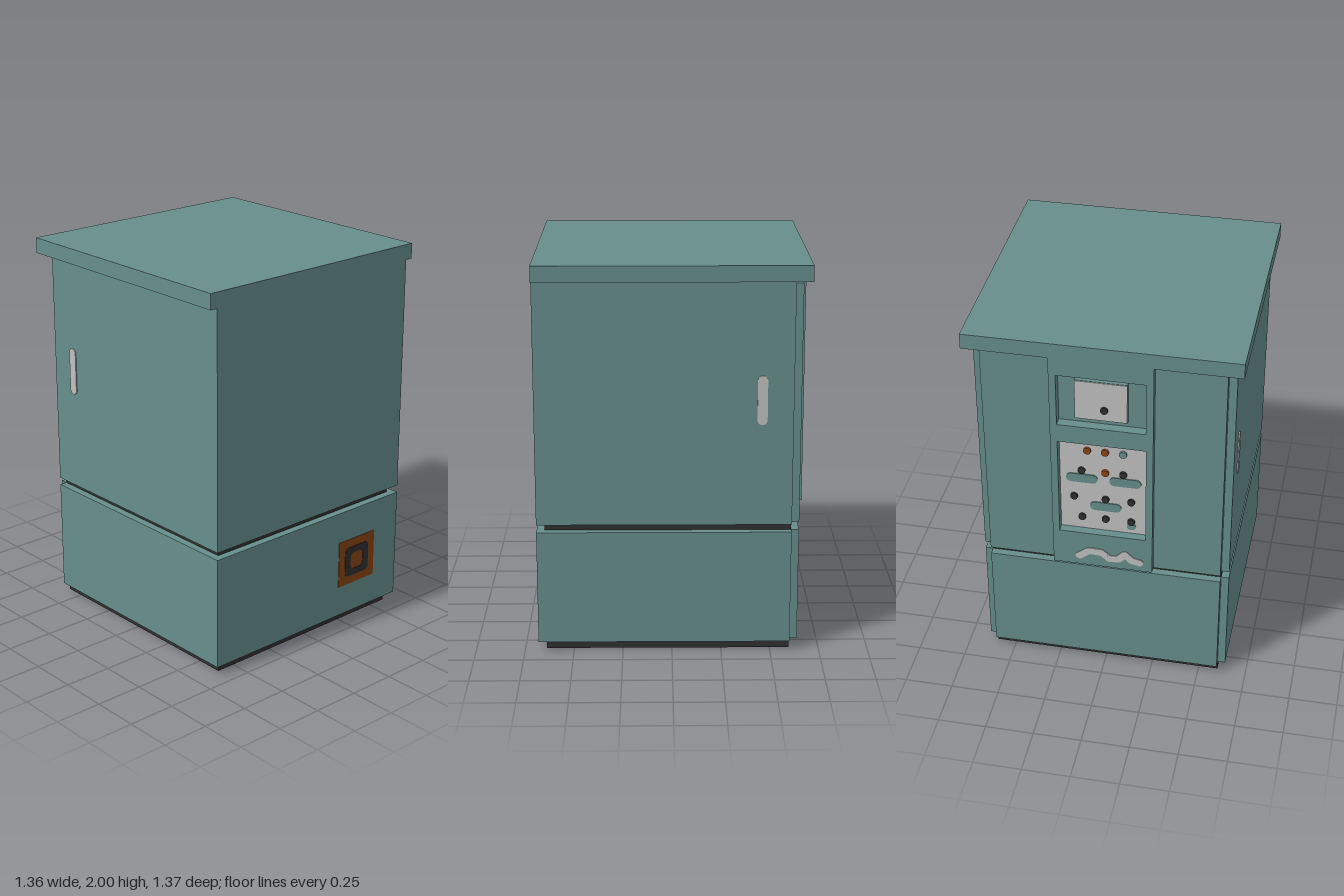
import * as THREE from 'three';

const mat = (name, color) => {
  const m = new THREE.MeshStandardMaterial({ color });
  m.name = name;
  return m;
};

export function createModel() {
  const teal = mat('teal paint', 0x668e8c);
  const dark = mat('dark plinth', 0x2f2f2f);
  const rust = mat('rust orange', 0x8b4513);
  const grey = mat('light grey', 0xc0c0c0);
  const model = new THREE.Group();
  model.name = 'cabinet';

  const add = (parent, name, geo, material, x = 0, y = 0, z = 0) => {
    const m = new THREE.Mesh(geo, material);
    m.name = name;
    m.position.set(x, y, z);
    parent.add(m);
    return m;
  };
  // box given by its minimum and maximum on each axis
  const box = (parent, name, material, x0, x1, y0, y1, z0, z1) =>
    add(parent, name, new THREE.BoxGeometry(x1 - x0, y1 - y0, z1 - z0), material,
      (x0 + x1) / 2, (y0 + y1) / 2, (z0 + z1) / 2);
  const extrude = (shape, depth) =>
    new THREE.ExtrudeGeometry(shape, { depth, bevelEnabled: false, curveSegments: 8 });
  const roundRect = (w, h, r, Type = THREE.Shape) => {
    const s = new Type(), a = w / 2, b = h / 2;
    s.moveTo(a, -b + r);
    s.absarc(a - r, b - r, r, 0, Math.PI / 2);
    s.absarc(-a + r, b - r, r, Math.PI / 2, Math.PI);
    s.absarc(-a + r, -b + r, r, Math.PI, Math.PI * 1.5);
    s.absarc(a - r, -b + r, r, Math.PI * 1.5, Math.PI * 2);
    return s;
  };
  const rectPath = (x0, x1, y0, y1, Type) => new Type([[x0, y0], [x1, y0], [x1, y1], [x0, y1]]
    .map(p => new THREE.Vector2(...p)));

  // dark inner body, showing at the plinth and the gap
  box(model, 'innerBody', dark, -0.6, 0.6, 0, 1.92, -0.6, 0.64);
  box(model, 'roof', teal, -0.68, 0.68, 1.92, 2, -0.68, 0.68);

  // U-shaped cladding round the front and sides, plus back panels
  const cladding = new THREE.Shape([
    [-0.64, 0.6], [-0.64, -0.68], [0.64, -0.68], [0.64, 0.6],
    [0.6, 0.6], [0.6, -0.64], [-0.6, -0.64], [-0.6, 0.6],
  ].map(p => new THREE.Vector2(...p)));
  for (const [name, y0, y1] of [['lowerCladding', 0.05, 0.64], ['upperCladding', 0.68, 1.92]])
    add(model, name, extrude(cladding, y1 - y0).rotateX(-Math.PI / 2), teal, 0, y0, 0);
  box(model, 'lowerBackPanel', teal, -0.6, 0.6, 0.05, 0.64, -0.64, -0.6);
  for (const s of [-1, 1])
    box(model, 'backSidePanel', teal, s * 0.425 - 0.175, s * 0.425 + 0.175, 0.68, 1.9, -0.64, -0.6);

  // pale handle strips on both sides
  for (const s of [-1, 1]) {
    const h = add(model, 'sideHandle', extrude(roundRect(0.05, 0.25, 0.025), 0.006), grey, s * 0.64, 1.325, -0.445);
    h.rotation.y = s * Math.PI / 2;
  }

  // nested square plate on the front
  const plate = new THREE.Group();
  plate.name = 'frontPlate';
  plate.position.set(0.338, 0.343, 0.68);
  model.add(plate);
  add(plate, 'plateBase', extrude(rectPath(-0.13, 0.13, -0.128, 0.128, THREE.Shape), 0.003), rust);
  const ring = roundRect(0.17, 0.165, 0.025);
  ring.holes.push(roundRect(0.092, 0.092, 0.025, THREE.Path));
  add(plate, 'plateRing', extrude(ring, 0.003), dark, 0, 0, 0.003);

  // control column on the back; the group is turned so +z points outwards
  const back = new THREE.Group();
  back.name = 'controlColumn';
  back.rotation.y = Math.PI;
  model.add(back);
  box(back, 'columnBacking', teal, -0.255, 0.255, 0.68, 1.92, 0.6, 0.63);
  const frame = rectPath(-0.255, 0.255, 0.68, 1.92, THREE.Shape);
  frame.holes.push(rectPath(-0.22, 0.22, 1.54, 1.825, THREE.Path));
  frame.holes.push(rectPath(-0.22, 0.22, 0.885, 1.44, THREE.Path));
  add(back, 'columnFrame', extrude(frame, 0.05), teal, 0, 0, 0.63);

  // upper niche: raised display
  box(back, 'displayBox', teal, -0.135, 0.125, 1.575, 1.795, 0.63, 0.655);
  box(back, 'displayFace', grey, -0.133, 0.123, 1.577, 1.793, 0.655, 0.659);

  // lower niche: control board with labels, lamps and knobs
  box(back, 'controlBoard', grey, -0.22, 0.22, 0.885, 1.44, 0.63, 0.636);
  const knob = (name, x, y, material, z = 0.636) =>
    add(back, name, new THREE.CylinderGeometry(0.019, 0.019, 0.012, 14).rotateX(Math.PI / 2), material, x, y, z + 0.006);
  knob('displayKnob', 0.012, 1.64, dark, 0.657);
  for (const [x, y] of [[-0.11, 1.2], [0.11, 1.2], [0.01, 1.035]])
    add(back, 'controlLabel', extrude(roundRect(0.16, 0.05, 0.025), 0.005), teal, x, y, 0.636);
  for (const [x, y, m] of [[-0.08, 1.375, rust], [0.01, 1.375, rust], [0.1, 1.375, teal], [0.01, 1.25, rust]])
    knob('lamp', x, y, m);
  for (const [x, y] of [[-0.11, 1.25], [0.1, 1.25], [-0.15, 1.085], [0.01, 1.085], [0.14, 1.085],
    [-0.11, 0.96], [0.01, 0.96], [0.14, 0.96]])
    knob('knob', x, y, dark);
  add(back, 'smallLabel', extrude(roundRect(0.045, 0.04, 0.018), 0.005), teal, 0.14, 0.93, 0.636);

  // wavy pale trim under the board, made of rounded links
  const wave = [[-0.12, 0.737], [-0.07, 0.775], [-0.005, 0.772], [0.035, 0.74], [0.08, 0.742],
    [0.115, 0.778], [0.15, 0.745], [0.19, 0.735]];
  for (let i = 0; i < wave.length - 1; i++) {
    const [x0, y0] = wave[i], [x1, y1] = wave[i + 1];
    const len = Math.hypot(x1 - x0, y1 - y0);
    const link = add(back, 'wavyTrim', extrude(roundRect(len + 0.04, 0.04, 0.0199), 0.004 + 0.0002 * i), grey,
      (x0 + x1) / 2, (y0 + y1) / 2, 0.68);
    link.rotation.z = Math.atan2(y1 - y0, x1 - x0);
  }
  return model;
}
